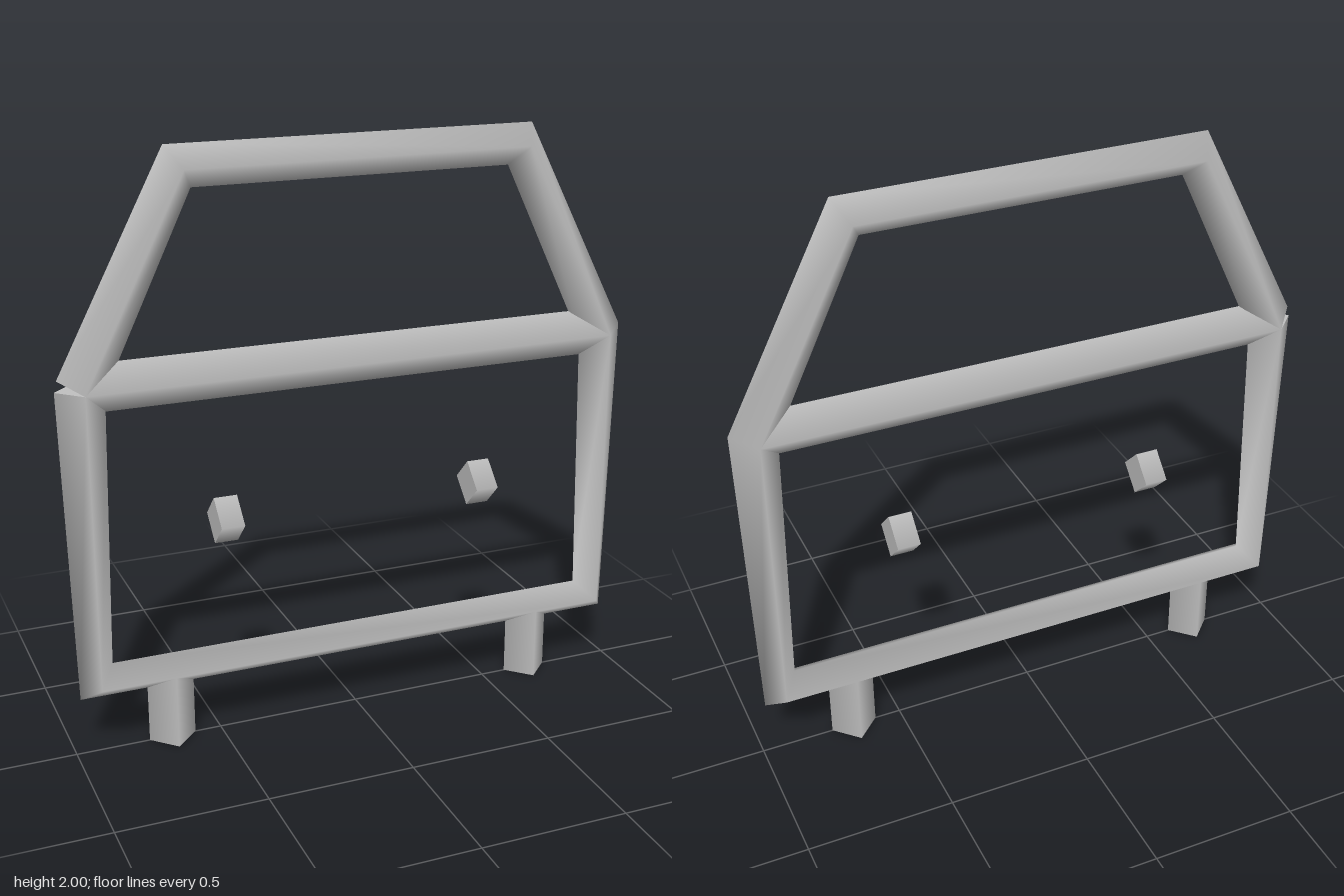
import * as THREE from 'three';

const R = 0.08;

// Sweeps a four-sided smooth-shaded bar along points [x, y] in the z = 0 plane, with flat caps
function sweepBar(points) {
  const pts = points.map(([x, y]) => new THREE.Vector3(x, y, 0));
  const dirs = pts.slice(1).map((p, i) => p.clone().sub(pts[i]).normalize());
  const position = [], normal = [], index = [];
  const push = (p, n) => {
    position.push(p.x, p.y, p.z);
    normal.push(n.x, n.y, n.z);
  };
  const rings = pts.map((p, i) => {
    // the corner ring lies in the bisecting plane of its two segments
    const t = (dirs[i - 1] ?? dirs[0]).clone().add(dirs[i] ?? dirs[i - 1]).normalize();
    const radial = [[t.y, -t.x, 0], [0, 0, 1], [-t.y, t.x, 0], [0, 0, -1]].map(a => new THREE.Vector3(...a));
    const ring = radial.map(n => p.clone().addScaledVector(n, R));
    ring.forEach((v, k) => push(v, radial[k]));
    return ring;
  });
  for (let i = 0; i < pts.length - 1; i++) {
    for (let k = 0; k < 4; k++) {
      const a = i * 4 + k, b = i * 4 + (k + 1) % 4;
      index.push(a, a + 4, b, b, a + 4, b + 4);
    }
  }
  // end caps
  const cap = (ring, n, order) => {
    const base = position.length / 3;
    ring.forEach(v => push(v, n));
    index.push(...order.map(k => base + k));
  };
  cap(rings[0], dirs[0].clone().negate(), [0, 1, 2, 0, 2, 3]);
  cap(rings.at(-1), dirs.at(-1), [0, 2, 1, 0, 3, 2]);

  const geo = new THREE.BufferGeometry();
  geo.setAttribute('position', new THREE.Float32BufferAttribute(position, 3));
  geo.setAttribute('normal', new THREE.Float32BufferAttribute(normal, 3));
  geo.setIndex(index);
  return geo;
}

export function createModel() {
  const group = new THREE.Group();
  const steel = new THREE.MeshStandardMaterial({ color: 0xc0c0c0 });
  steel.name = 'steel grey';

  const add = (name, points) => {
    const mesh = new THREE.Mesh(sweepBar(points), steel);
    mesh.name = name;
    group.add(mesh);
  };

  // Outer frame, one bent bar that starts and ends at the same shoulder
  add('outerFrame', [
    [-0.92, 1.26], [-0.92, 0.255], [0.92, 0.255],
    [0.92, 1.26], [0.585, 1.93], [-0.585, 1.93], [-0.92, 1.26],
  ]);

  // Crossbar under the window opening
  add('crossbar', [[-0.92, 1.26], [0.92, 1.26]]);

  // Feet and the two short floating pegs
  for (const [side, s] of [['left', 1], ['right', -1]]) {
    add(side + 'Foot', [[s * 0.67, 0], [s * 0.67, 0.255]]);
    add(side + 'Peg', [[s * 0.46 - 0.04, 0.76], [s * 0.46 + 0.04, 0.76]]);
  }
  return group;
}
